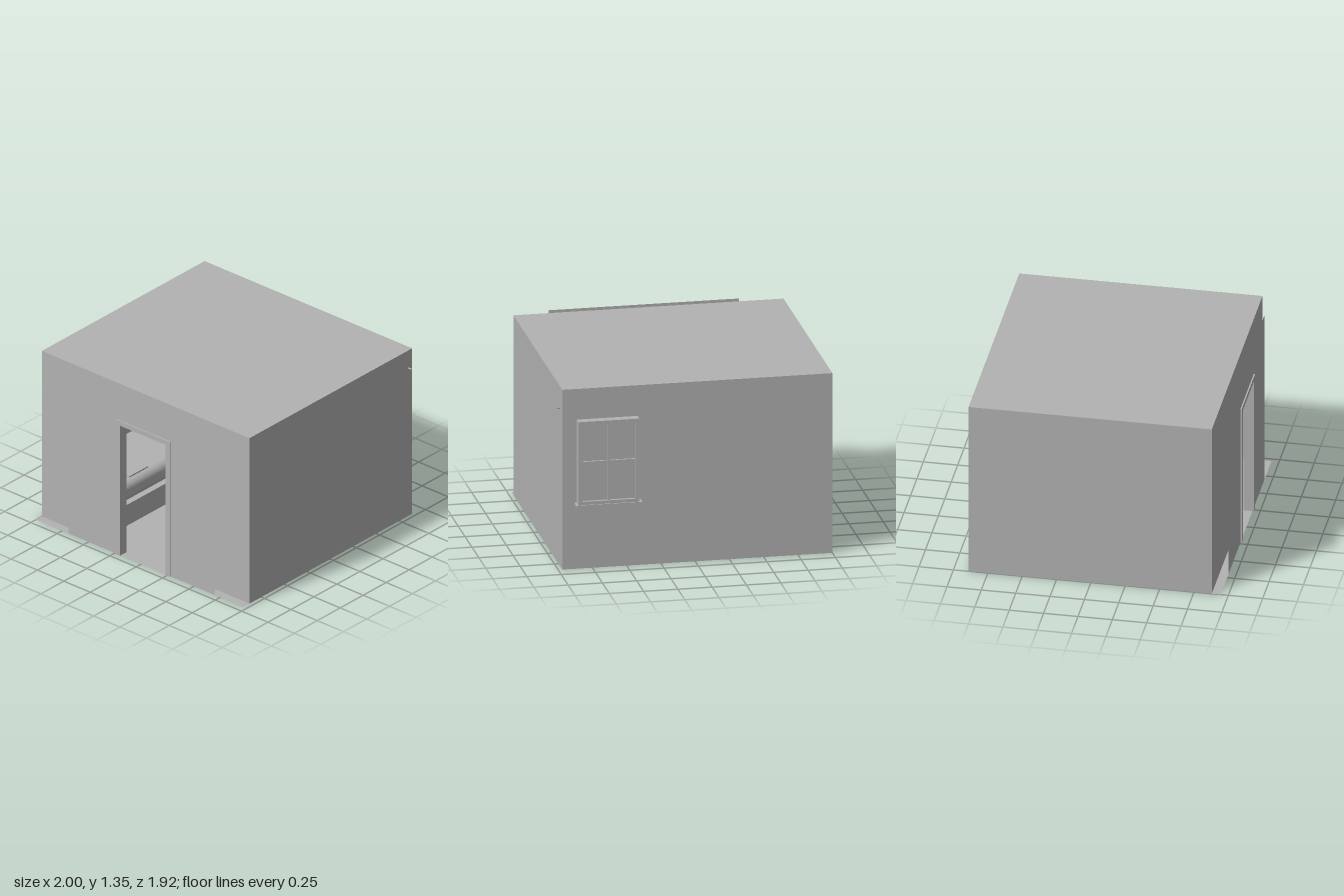
import * as THREE from 'three';
import { RoundedBoxGeometry } from 'three/addons/geometries/RoundedBoxGeometry.js';

export function createModel() {
  const model = new THREE.Group();
  const grey = new THREE.MeshStandardMaterial({ color: 0xb2b2b2, side: THREE.DoubleSide });
  grey.name = 'plain grey';

  const add = (parent, name, geometry, x = 0, y = 0, z = 0) => {
    const mesh = new THREE.Mesh(geometry, grey);
    mesh.name = name;
    mesh.position.set(x, y, z);
    parent.add(mesh);
    return mesh;
  };
  const group = (name) => {
    const g = new THREE.Group();
    g.name = name;
    model.add(g);
    return g;
  };
  // Box given by its lower and upper corners
  const block = (parent, name, x0, x1, y0, y1, z0, z1) =>
    add(parent, name, new THREE.BoxGeometry(x1 - x0, y1 - y0, z1 - z0),
      (x0 + x1) / 2, (y0 + y1) / 2, (z0 + z1) / 2);
  // Round bar between two points
  const bar = (parent, name, a, b, r0, r1 = r0) => {
    const p = new THREE.Vector3(...a), q = new THREE.Vector3(...b);
    const d = q.clone().sub(p);
    const mesh = add(parent, name, new THREE.CylinderGeometry(r1, r0, d.length(), 12));
    mesh.position.copy(p).addScaledVector(d, 0.5);
    mesh.quaternion.setFromUnitVectors(new THREE.Vector3(0, 1, 0), d.normalize());
    return mesh;
  };

  const L = -1, R = 0.97, H = 1.35, BACK = -0.89, FRONT = 0.88, FACE = 0.945;
  const door = { l: -0.195, r: 0.24, h: 1.065 };

  // Room shell of thin planes
  const shell = group('room');
  const midX = (L + R) / 2, midZ = (BACK + FRONT) / 2, w = R - L, d = FRONT - BACK;
  add(shell, 'floor', new THREE.PlaneGeometry(w, FACE - BACK), midX, 0, (BACK + FACE) / 2).rotation.x = -Math.PI / 2;
  add(shell, 'ceiling', new THREE.PlaneGeometry(w, d), midX, H, midZ).rotation.x = -Math.PI / 2;
  for (const [name, x, s] of [['leftWall', R, 1], ['rightWall', L, -1]])
    add(shell, name, new THREE.PlaneGeometry(d, H), x, H / 2, midZ).rotation.y = s * Math.PI / 2;

  // Wall outline with the doorway as a notch
  const doorWall = (x0, x1) => new THREE.ShapeGeometry(new THREE.Shape([
    [x0, 0], [door.l, 0], [door.l, door.h], [door.r, door.h], [door.r, 0], [x1, 0], [x1, H], [x0, H],
  ].map((p) => new THREE.Vector2(...p))));
  add(shell, 'frontWall', doorWall(L, R), 0, 0, FRONT);
  add(shell, 'frontPanel', doorWall(-0.69, 0.7), 0, 0, FACE);

  // Back wall with a window opening
  const rect = (Type, x0, x1, y0, y1) => new Type([
    [x0, y0], [x1, y0], [x1, y1], [x0, y1]].map((p) => new THREE.Vector2(...p)));
  const backShape = rect(THREE.Shape, L, R, 0, H);
  backShape.holes.push(rect(THREE.Path, 0.45, 0.835, 0.52, 1.08));
  const backWall = new THREE.ShapeGeometry(backShape);
  add(shell, 'backWall', backWall, 0, 0, BACK);

  // Door frame: jambs, header and outer trim
  const frame = group('doorFrame');
  block(frame, 'rightJamb', door.l - 0.005, door.l, 0, door.h, FRONT, FACE);
  block(frame, 'leftJamb', door.r - 0.008, door.r, 0, door.h, FRONT, FACE);
  block(frame, 'header', door.l, door.r, 1.055, door.h, FRONT, FACE);
  block(frame, 'topTrim', -0.235, 0.28, door.h, 1.1, FACE, 0.955);
  block(frame, 'leftTrim', door.r, 0.28, 0, door.h, FACE, 0.955);
  block(frame, 'rightTrim', -0.235, door.l, 0, door.h, FACE, 0.955);

  // Projecting window with a sill, four panes and bars
  const win = group('window');
  const z0 = -0.955;
  block(win, 'sill', 0.4, 0.88, 0.48, 0.496, -0.963, BACK);
  block(win, 'topFrame', 0.42, 0.865, 1.095, 1.12, z0, BACK);
  block(win, 'bottomFrame', 0.42, 0.865, 0.496, 0.52, z0, BACK);
  for (const x of [0.42, 0.835]) block(win, 'sideFrame', x, x + 0.03, 0.52, 1.095, z0, BACK);
  block(win, 'uprightBar', 0.634, 0.652, 0.52, 1.095, -0.948, -0.925);
  block(win, 'crossBar', 0.45, 0.835, 0.8, 0.818, -0.948, -0.925);
  block(win, 'pane', 0.45, 0.835, 0.52, 1.095, -0.933, -0.928);

  // Wall peg passing through the left wall
  bar(shell, 'peg', [0.92, 1.205, -0.85], [1, 1.205, -0.85], 0.005);

  // Table below the window
  const table = group('table');
  block(table, 'tableTop', 0, 0.75, 0.378, 0.394, -0.82, -0.35);
  for (const z of [-0.79, -0.395]) block(table, 'apron', 0.03, 0.72, 0.33, 0.378, z, z + 0.015);
  for (const x of [0.02, 0.7]) block(table, 'endApron', x, x + 0.015, 0.33, 0.378, -0.78, -0.39);
  for (const x of [0.02, 0.73]) for (const z of [-0.79, -0.38])
    bar(table, 'tableLeg', [x, 0, z], [x, 0.378, z], 0.009, 0.013);

  // Chair drawn up to the table
  const chair = group('chair');
  const cx = 0.28;
  const seat = new THREE.BoxGeometry(0.34, 0.013, 0.28);
  const pos = seat.attributes.position;
  for (let i = 0; i < pos.count; i++) if (pos.getZ(i) > 0) pos.setX(i, pos.getX(i) * 0.8);
  add(chair, 'seat', seat, cx, 0.237, -0.3);
  for (const s of [-1, 1]) {
    bar(chair, 'frontLeg', [cx + s * 0.14, 0, -0.43], [cx + s * 0.155, 0.235, -0.42], 0.008, 0.011);
    bar(chair, 'backPost', [cx + s * 0.12, 0, -0.15], [cx + s * 0.12, 0.44, -0.14], 0.008);
    bar(chair, 'sideRung', [cx + s * 0.145, 0.11, -0.43], [cx + s * 0.12, 0.11, -0.15], 0.006);
  }
  block(chair, 'backRest', cx - 0.125, cx + 0.125, 0.395, 0.45, -0.147, -0.133);
  for (const y of [0.13, 0.3]) bar(chair, 'backRung', [cx - 0.12, y, -0.147], [cx + 0.12, y, -0.147], 0.006);

  // Bed along the right wall
  const bed = group('bed');
  block(bed, 'bedBase', -0.98, -0.45, 0, 0.17, -0.32, 0.86);
  add(bed, 'mattress', new RoundedBoxGeometry(0.53, 0.16, 1.18, 5, 0.06), -0.715, 0.26, 0.27);
  block(bed, 'tray', -0.75, -0.5, 0.335, 0.35, 0.3, 0.5);

  return model;
}
